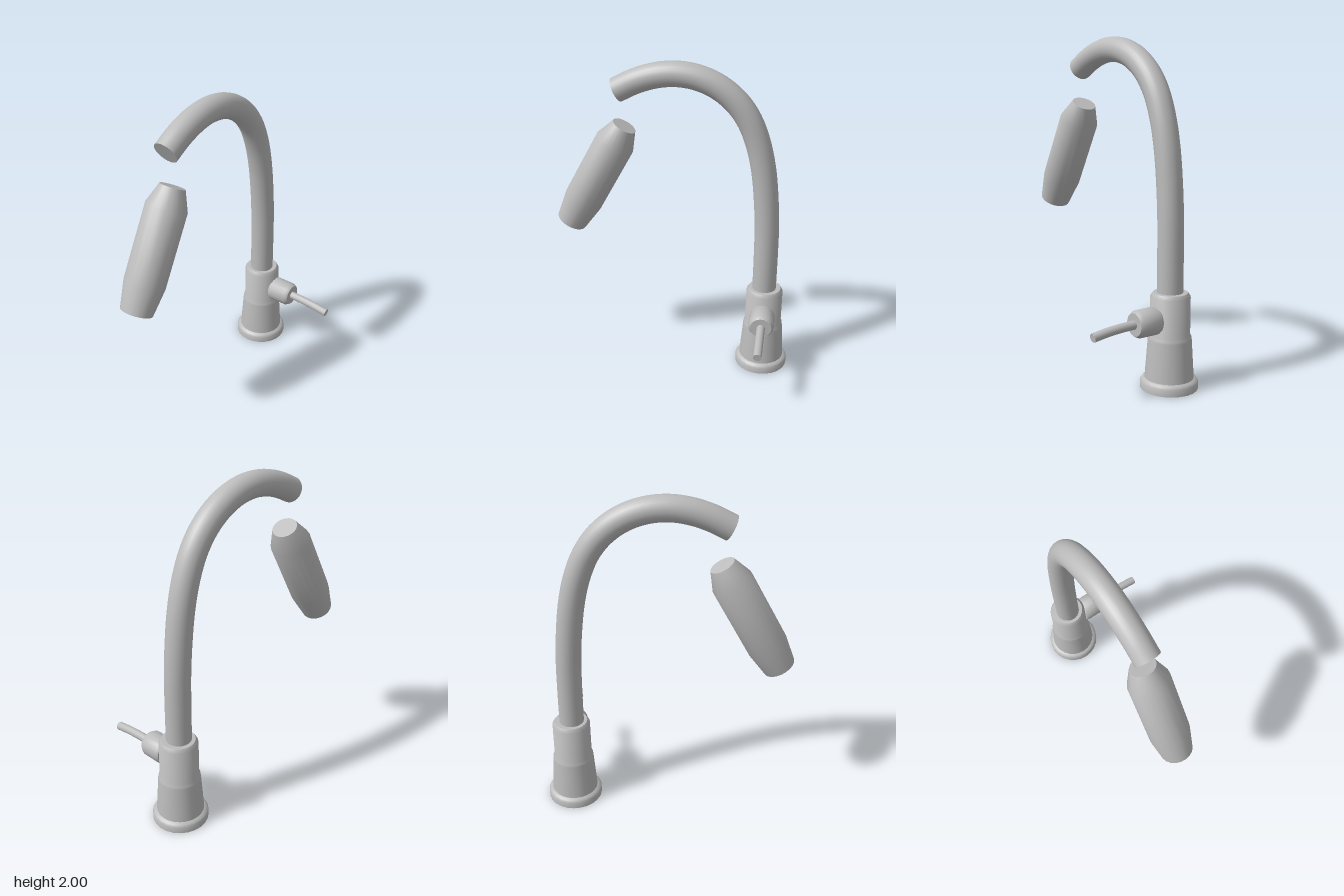
import * as THREE from 'three';
import { toCreasedNormals } from 'three/addons/utils/BufferGeometryUtils.js';

const brushedMetal = new THREE.MeshStandardMaterial({ color: 0xbcbcbc });
const X = -0.185, Z = -0.582;
const UP = new THREE.Vector3(0, 1, 0);

// Turned part: profile of [radius, height], closed at both ends
function turned(name, profile, sides) {
  const points = profile.map(([r, y]) => new THREE.Vector2(r, y));
  const geometry = toCreasedNormals(new THREE.LatheGeometry(points, sides), 0.7);
  const mesh = new THREE.Mesh(geometry, brushedMetal);
  mesh.name = name;
  return mesh;
}

// Round pipe along a smooth path with flat end caps
function pipe(name, path, radius, segments, sides) {
  const group = new THREE.Group();
  group.name = name;
  const curve = new THREE.CatmullRomCurve3(path.map((p) => new THREE.Vector3(...p)));
  const wall = new THREE.Mesh(new THREE.TubeGeometry(curve, segments, radius, sides), brushedMetal);
  wall.name = name + 'Wall';
  group.add(wall);
  for (const t of [0, 1]) {
    const cap = new THREE.Mesh(new THREE.CircleGeometry(radius, sides), brushedMetal);
    const direction = curve.getTangent(t).multiplyScalar(t ? 1 : -1);
    cap.quaternion.setFromUnitVectors(new THREE.Vector3(0, 0, 1), direction);
    cap.position.copy(curve.getPoint(t));
    cap.name = name + 'Cap';
    group.add(cap);
  }
  return group;
}

export function createModel() {
  const model = new THREE.Group();
  model.name = 'kitchenTap';

  // Flared base with a foot ring and a stepped neck
  const base = turned('base', [
    [0, 0], [0.167, 0], [0.167, 0.04], [0.158, 0.055], [0.142, 0.062],
    [0.126, 0.29], [0.124, 0.305], [0.116, 0.32], [0.115, 0.54], [0.1, 0.562], [0, 0.562],
  ], 24);
  base.position.set(X, 0, Z);
  model.add(base);

  // Gooseneck spout
  model.add(pipe('spout', [
    [X, 0.52, -0.578], [X, 0.8, -0.576], [X, 1.0, -0.571], [X, 1.2, -0.555],
    [X, 1.38, -0.53], [X, 1.54, -0.49], [X, 1.68, -0.43], [X, 1.785, -0.35],
    [X, 1.865, -0.245], [X, 1.913, -0.125], [X, 1.928, 0], [X, 1.913, 0.12],
    [X, 1.873, 0.24], [X, 1.815, 0.353],
  ], 0.075, 64, 24));

  // Detached spray head, leaning forward
  const bottom = new THREE.Vector3(X, 0.94, 0.668);
  const top = new THREE.Vector3(X, 1.595, 0.31);
  const sprayHead = turned('sprayHead', [
    [0, 0], [0.097, 0], [0.122, 0.17], [0.122, 0.625], [0.075, 0.746], [0, 0.746],
  ], 20);
  sprayHead.position.copy(bottom);
  sprayHead.quaternion.setFromUnitVectors(UP, top.sub(bottom).normalize());
  model.add(sprayHead);

  // Side knob with bevelled ends
  const knob = turned('handleKnob', [
    [0, 0], [0.073, 0], [0.079, 0.012], [0.079, 0.13], [0.066, 0.152], [0, 0.152],
  ], 20);
  knob.rotation.z = -Math.PI / 2;
  knob.position.set(-0.082, 0.413, Z);
  model.add(knob);

  // Slightly drooping lever
  model.add(pipe('handleLever', [
    [0.04, 0.414, Z], [0.15, 0.411, Z], [0.25, 0.403, Z], [0.346, 0.389, Z],
  ], 0.026, 14, 12));

  return model;
}
